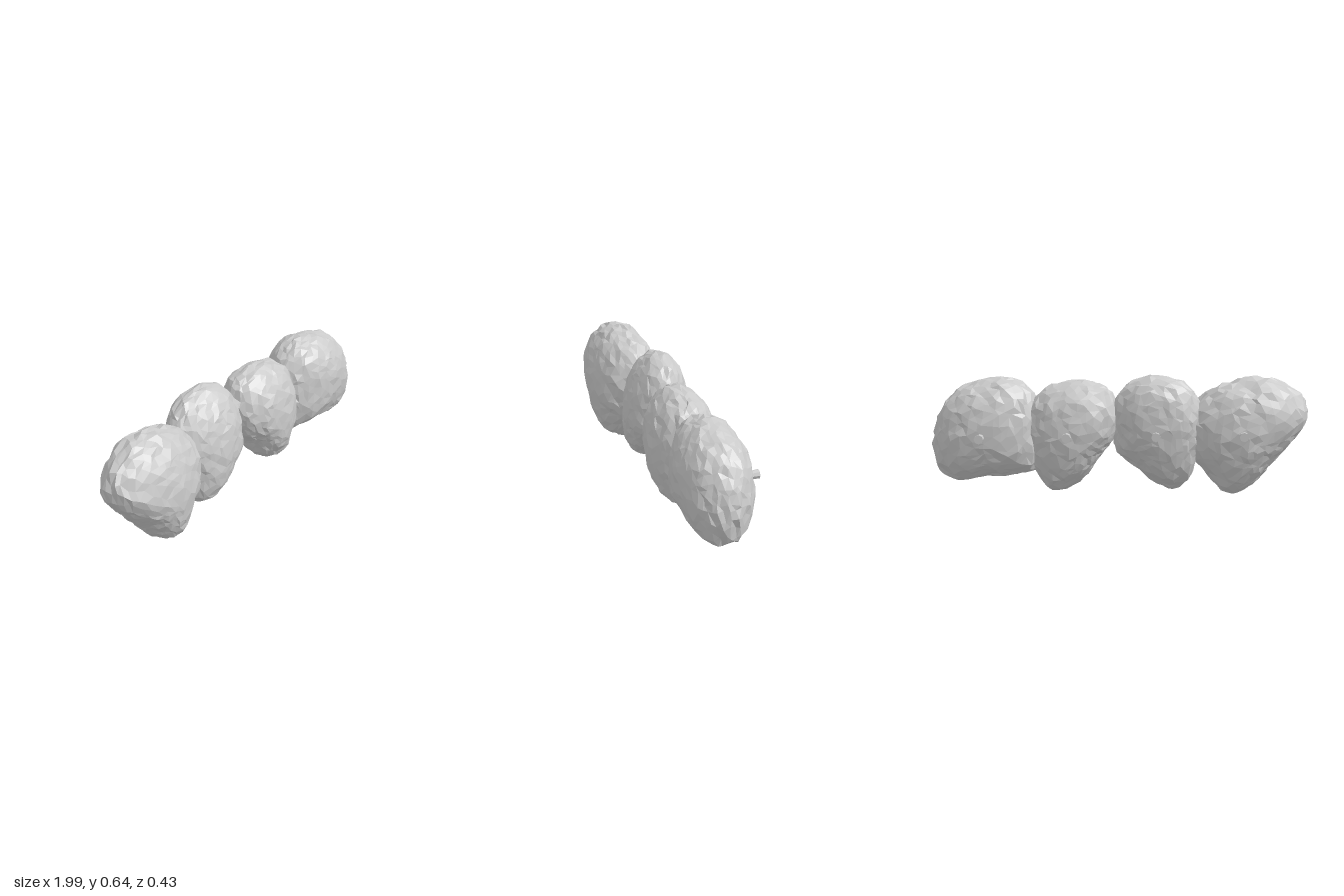
import * as THREE from 'three';
import { mergeVertices } from 'three/addons/utils/BufferGeometryUtils.js';

const stone = new THREE.MeshStandardMaterial({ color: 0xcacaca, flatShading: true });
stone.name = 'stone grey';

// Front outline of each rock (x, y), its middle depth, half depth, z slope along x and y, and peg position
const ROCKS = [
  { outline: [[-.998, .43], [-.95, .54], [-.78, .625], [-.6, .61], [-.45, .54], [-.355, .42], [-.365, .24],
    [-.46, .12], [-.54, .03], [-.61, .005], [-.7, .05], [-.82, .18], [-.93, .3]],
  z: .02, depth: .187, slopeX: -.06, slopeY: -.06, peg: [-.65, .346] },
  { outline: [[-.44, .46], [-.36, .59], [-.2, .643], [-.07, .605], [.01, .51], [.025, .38], [.015, .25],
    [-.1, .14], [-.2, .06], [-.28, .03], [-.36, .07], [-.405, .17], [-.44, .3]],
  z: -.015, depth: .16, slopeX: .03, slopeY: -.11, peg: [-.2, .342] },
  { outline: [[-.01, .42], [.04, .55], [.17, .607], [.3, .597], [.42, .54], [.48, .42], [.485, .25],
    [.44, .12], [.38, .035], [.3, .022], [.2, .07], [.11, .19], [.02, .3]],
  z: .01, depth: .177, slopeX: 0, slopeY: -.04, peg: [.26, .334] },
  { outline: [[.41, .44], [.46, .555], [.55, .61], [.7, .612], [.85, .555], [.94, .45], [.99, .27],
    [.945, .11], [.85, .073], [.7, .09], [.55, .1], [.44, .13], [.4, .28]],
  z: .022, depth: .188, slopeX: .03, slopeY: 0, peg: [.71, .325] },
];

// Small seeded generator giving values from -1 to 1
function makeRandom(seed) {
  let s = seed * 7919;
  return () => {
    s = (s * 16807) % 2147483647;
    return 2 * s / 2147483647 - 1;
  };
}

// Returns a function giving the outline radius at any angle around the centre
function outlineRadius(points, cx, cy) {
  const curve = new THREE.CatmullRomCurve3(points.map(([x, y]) => new THREE.Vector3(x - cx, y - cy, 0)), true);
  const samples = curve.getPoints(240).slice(0, -1)
    .map(p => ({ a: Math.atan2(p.y, p.x), r: Math.hypot(p.x, p.y) }))
    .sort((m, n) => m.a - n.a);
  return angle => (samples.find(s => s.a >= angle) ?? samples[0]).r;
}

// Faceted boulder: a sphere stretched to the outline, then roughened
function makeRock({ outline, z, depth, slopeX, slopeY }, seed) {
  const xs = outline.map(p => p[0]), ys = outline.map(p => p[1]);
  const cx = (Math.min(...xs) + Math.max(...xs)) / 2;
  const cy = (Math.min(...ys) + Math.max(...ys)) / 2;
  const radius = outlineRadius(outline, cx, cy);
  const random = makeRandom(seed);

  // welded corners, so the rough surface stays closed
  const sphere = new THREE.IcosahedronGeometry(1, 7);
  sphere.deleteAttribute('normal');
  sphere.deleteAttribute('uv');
  const geometry = mergeVertices(sphere, 1e-3);
  const pos = geometry.attributes.position;
  const d = new THREE.Vector3();
  for (let i = 0; i < pos.count; i++) {
    // uneven facets
    d.fromBufferAttribute(pos, i);
    d.set(d.x + .05 * random(), d.y + .05 * random(), d.z + .05 * random()).normalize();
    // broad lumps plus fine chips
    const lumps = Math.sin(9 * d.x + 4 * d.y + seed) * Math.sin(8 * d.y - 5 * d.z + 2 * seed) * Math.cos(8 * d.z + seed);
    const rough = 1 + .02 * lumps + .025 * random();
    const angle = Math.atan2(d.y, d.x);
    // slightly fuller than an ellipsoid
    const r = radius(angle) * Math.hypot(d.x, d.y) ** .95 * rough;
    const x = r * Math.cos(angle), y = r * Math.sin(angle);
    pos.setXYZ(i, cx + x, cy + y, z + slopeX * x + slopeY * y + depth * d.z * rough);
  }
  geometry.computeVertexNormals();
  return new THREE.Mesh(geometry, stone);
}

export function createModel() {
  const model = new THREE.Group();
  model.name = 'rockRow';
  // Mounting pegs widen towards their back end
  const pegGeometry = new THREE.CylinderGeometry(.018, .024, .1, 8).rotateX(Math.PI / 2);
  ROCKS.forEach((spec, i) => {
    const rock = makeRock(spec, i + 1);
    rock.name = 'rock' + (i + 1);
    const peg = new THREE.Mesh(pegGeometry, stone);
    peg.name = 'peg' + (i + 1);
    peg.position.set(spec.peg[0], spec.peg[1], -.169);
    model.add(rock, peg);
  });
  return model;
}
